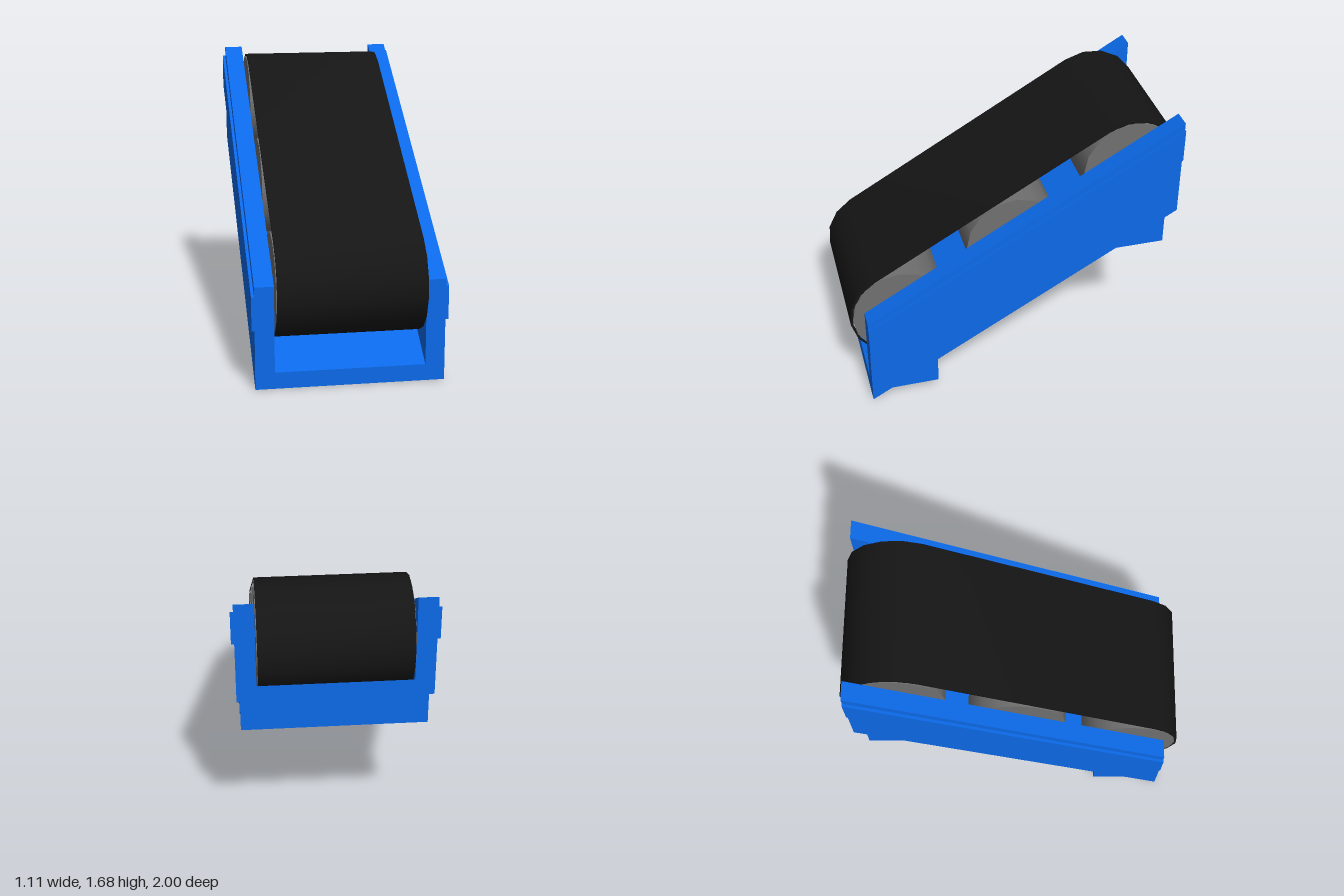
import * as THREE from 'three';
import { toCreasedNormals } from 'three/addons/utils/BufferGeometryUtils.js';

const RISE = 0.58;              // height gained per unit towards the back
const FRONT = 0.915, BACK = -0.95;

const blue = new THREE.MeshStandardMaterial({ color: 0x0c69e8 });
const black = new THREE.MeshStandardMaterial({ color: 0x151515 });
const grey = new THREE.MeshStandardMaterial({ color: 0x707070 });

// Side profile of [z, y] points, extruded across x from x0 to x1
function prism(name, points, x0, x1, material, hole) {
  const toVec = ([z, y]) => new THREE.Vector2(-z, y);
  const shape = new THREE.Shape(points.map(toVec));
  if (hole) shape.holes.push(new THREE.Path(hole.map(toVec)));
  const extruded = new THREE.ExtrudeGeometry(shape, { depth: x1 - x0, bevelEnabled: false });
  const geometry = toCreasedNormals(extruded, 0.6);
  geometry.rotateY(Math.PI / 2);
  geometry.translate(x0, 0, 0);
  const mesh = new THREE.Mesh(geometry, material);
  mesh.name = name;
  return mesh;
}

// Sloping bar profile, given its bottom and top heights at the front end
function slopingBar(bottom, top) {
  const climb = RISE * (FRONT - BACK);
  return [[FRONT, bottom], [BACK, bottom + climb], [BACK, top + climb], [FRONT, top]];
}

// Closed loop: half a turn around the upper roller, then half around the lower
function beltLoop(lower, upper, radius) {
  const points = [];
  const steps = 8;
  for (const [[z, y], start] of [[upper, Math.PI * 2 / 3], [lower, -Math.PI / 3]]) {
    for (let i = 0; i <= steps; i++) {
      const a = start - (i / steps) * Math.PI;
      points.push([z - radius * Math.cos(a), y + radius * Math.sin(a)]);
    }
  }
  return points;
}

export function createModel() {
  const model = new THREE.Group();
  model.name = 'inclinedConveyor';

  // Channel frame: floor, side walls and raised outer strips
  const frame = new THREE.Group();
  frame.name = 'frame';
  frame.add(prism('floor', slopingBar(0, 0.096), -0.428, 0.428, blue));
  for (const side of [-1, 1]) {
    const span = (a, b) => (side > 0 ? [a, b] : [-b, -a]);
    const drop = side > 0 ? 0 : 0.015;
    frame.add(prism('sideWall', slopingBar(0, 0.597), ...span(0.428, 0.538), blue));
    frame.add(prism('sideStrip', slopingBar(0.36 - drop, 0.555 - drop), ...span(0.53, 0.555), blue));
  }
  model.add(frame);

  // Wedge feet under both ends
  const underside = (z) => 0.01 + RISE * (FRONT - z);
  for (const [name, z, y, tip] of [['frontFoot', 0.505, 0.052, 0.83], ['backFoot', -0.885, 0.856, -0.56]]) {
    model.add(prism(name, [[z, y], [z, underside(z)], [tip, y]], -0.52, 0.52, blue));
  }

  // Three rollers lying across the channel
  const centres = [[0.695, 0.552], [0, 0.955], [-0.695, 1.358]];
  for (const [z, y] of centres) {
    const geometry = new THREE.CylinderGeometry(0.29, 0.29, 0.848, 16);
    geometry.rotateZ(Math.PI / 2);
    const roller = new THREE.Mesh(geometry, grey);
    roller.name = 'roller';
    roller.position.set(0, y, z);
    model.add(roller);
  }

  // Belt running around the end rollers
  const [lower, , upper] = centres;
  model.add(prism('belt', beltLoop(lower, upper, 0.306), -0.42, 0.42, black, beltLoop(lower, upper, 0.291)));

  return model;
}
